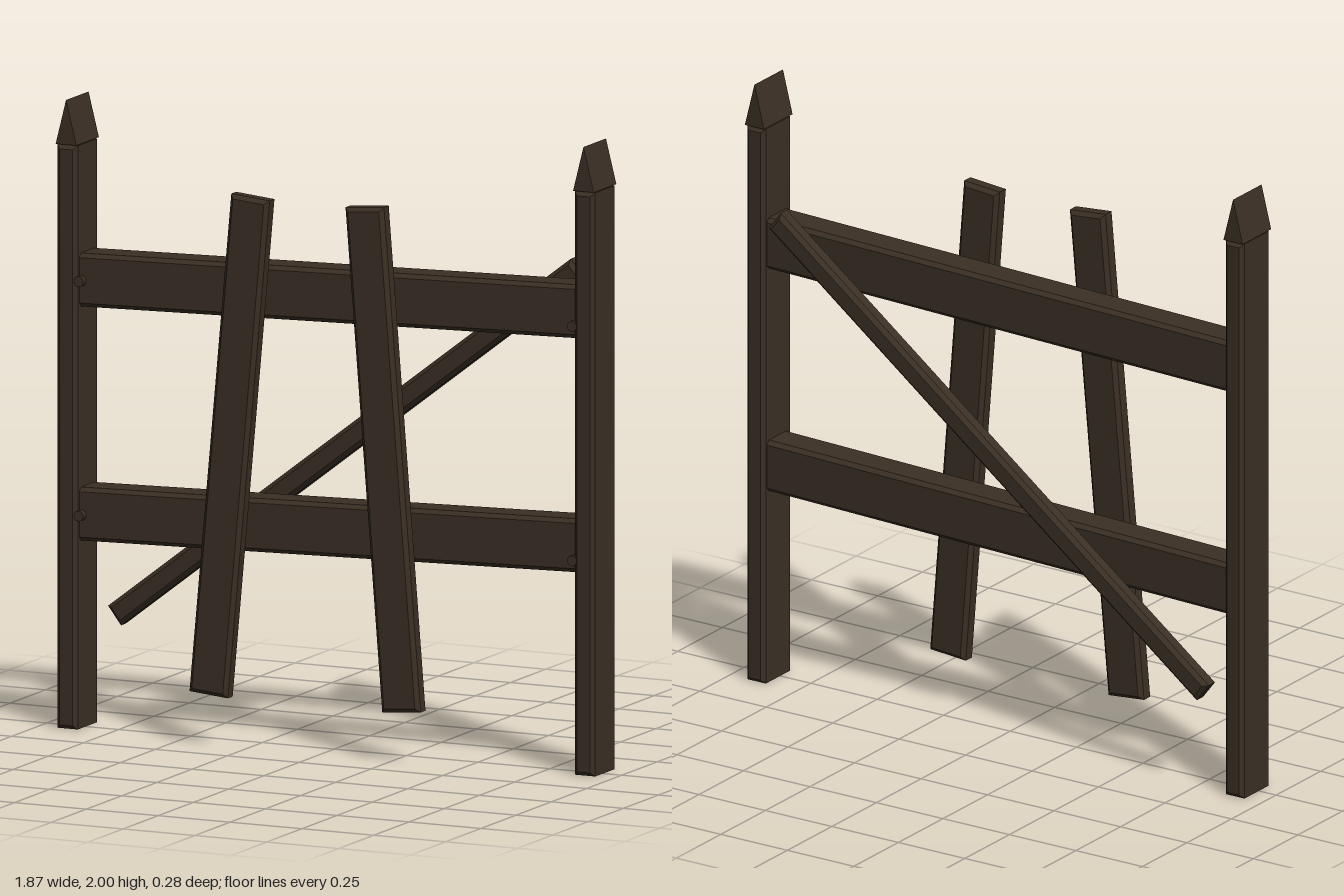
import * as THREE from 'three';

// Board with chamfered edges, centred on its own origin
function chamferedBoard(w, h, d, b) {
  const x = w / 2 - b, y = h / 2 - b;
  const shape = new THREE.Shape([
    new THREE.Vector2(-x, -y), new THREE.Vector2(x, -y),
    new THREE.Vector2(x, y), new THREE.Vector2(-x, y),
  ]);
  const geo = new THREE.ExtrudeGeometry(shape, {
    depth: d - 2 * b, bevelEnabled: true, bevelThickness: b, bevelSize: b, bevelSegments: 1,
  });
  return geo.translate(0, 0, b - d / 2);
}

// Wedge with its ridge running front to back, base at y = 0
function wedge(w, h, d) {
  const shape = new THREE.Shape([
    new THREE.Vector2(-w / 2, 0), new THREE.Vector2(w / 2, 0), new THREE.Vector2(0, h),
  ]);
  return new THREE.ExtrudeGeometry(shape, { depth: d, bevelEnabled: false }).translate(0, 0, -d / 2);
}

export function createModel() {
  const model = new THREE.Group();
  const wood = new THREE.MeshStandardMaterial({ color: 0x3a2f24 });
  wood.name = 'darkWood';

  const add = (name, geo, x, y, z, tilt = 0) => {
    const mesh = new THREE.Mesh(geo, wood);
    mesh.name = name;
    mesh.position.set(x, y, z);
    mesh.rotation.z = tilt;
    model.add(mesh);
  };

  // Posts with pointed caps, and pegs at the rail joints
  const post = chamferedBoard(0.07, 1.855, 0.16, 0.012);
  const cap = wedge(0.072, 0.142, 0.16);
  const peg = new THREE.CylinderGeometry(0.017, 0.017, 0.04, 10).rotateX(Math.PI / 2);
  for (const [side, s] of [['left', 1], ['right', -1]]) {
    add(side + 'Post', post, s * 0.9, 0.9275, -0.012);
    add(side + 'PostCap', cap, s * 0.9, 1.858, -0.012);
    add(side + 'UpperPeg', peg, s * 0.858, 1.425, 0.045);
    add(side + 'LowerPeg', peg, s * 0.858, 0.68, 0.045);
  }

  // Slightly tilted rails
  const rail = chamferedBoard(1.76, 0.17, 0.12, 0.013);
  add('upperRail', rail, 0, 1.447, -0.015, 0.0245);
  add('lowerRail', rail, 0, 0.703, -0.015, 0.0245);

  // Leaning planks on the front
  const plank = chamferedBoard(0.134, 1.6, 0.06, 0.013);
  add('rightPlank', plank, -0.302, 0.96, 0.11, -0.091);
  add('leftPlank', plank, 0.232, 0.96, 0.11, 0.08);

  // Diagonal brace on the back
  add('brace', chamferedBoard(2.03, 0.074, 0.06, 0.013), -0.005, 0.96, -0.11, 0.655);

  return model;
}
